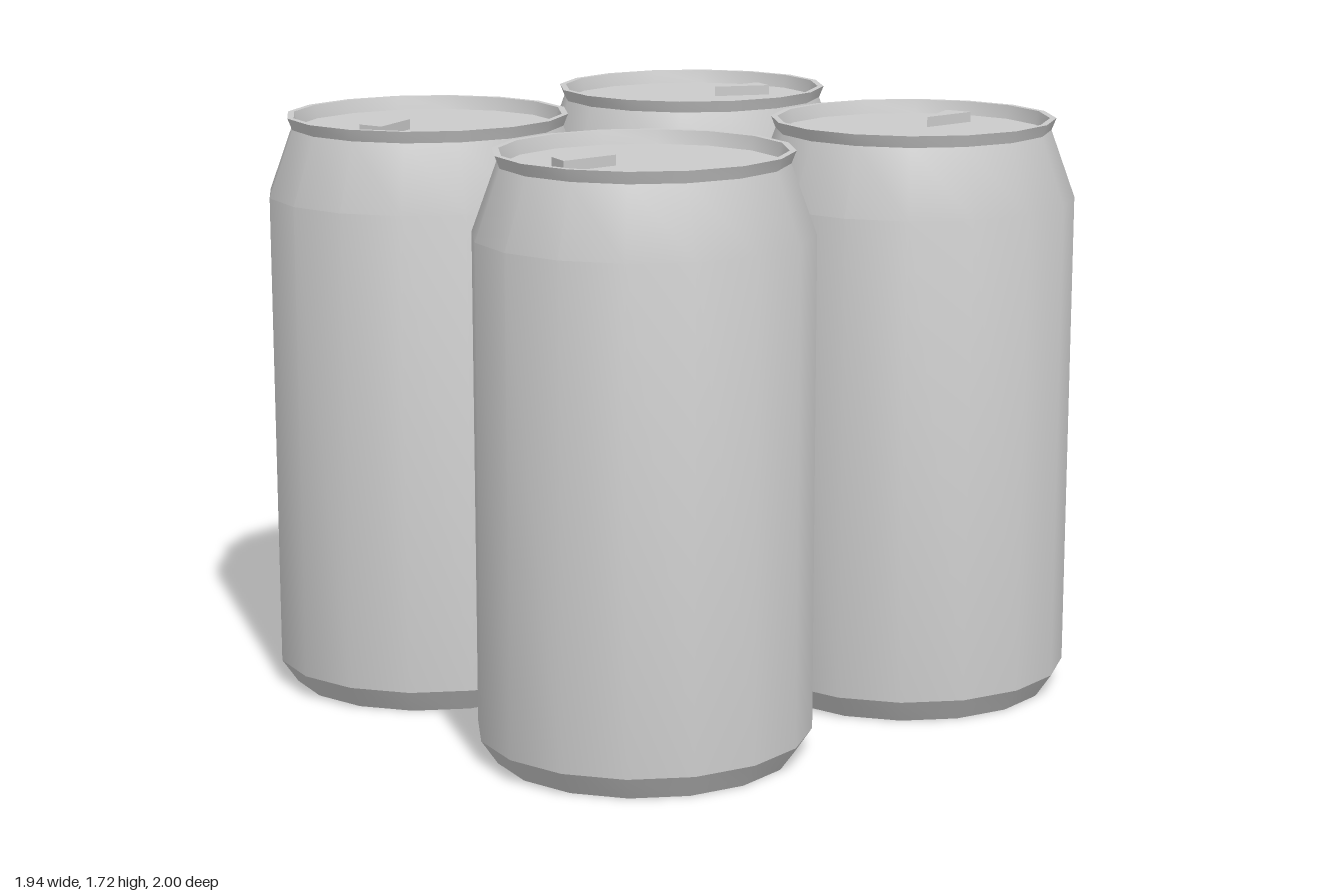
import * as THREE from 'three';
import { toCreasedNormals } from 'three/addons/utils/BufferGeometryUtils.js';

const SIDES = 16;
const LID_Y = 1.68;

// Closed can profile: recessed base, bevel, wall, shoulder, flared rim, sunken lid
const PROFILE = [
  [0, 0.03], [0.41, 0.03], [0.42, 0], [0.435, 0], [0.483, 0.07],
  [0.483, 1.487], [0.41, 1.685], [0.424, 1.72], [0.405, 1.72],
  [0.395, LID_Y], [0, LID_Y],
].map(([r, y]) => new THREE.Vector2(r, y));

// Small wedge-shaped tab on the lid, mirrored by the signs sx and sz
function tabGeometry(sx, sz) {
  const corners = [[-0.022, 0.08], [-0.022, 0.262], [-0.102, 0.24]];
  const shape = new THREE.Shape(corners.map(([x, z]) => new THREE.Vector2(x * sx, -z * sz)));
  const geometry = new THREE.ExtrudeGeometry(shape, { depth: 0.03, bevelEnabled: false });
  geometry.rotateX(-Math.PI / 2);
  geometry.translate(0, LID_Y, 0);
  return geometry;
}

export function createModel() {
  const material = new THREE.MeshStandardMaterial({ color: 0xcccccc });
  const bodyGeometry = toCreasedNormals(
    new THREE.LatheGeometry(PROFILE, SIDES).scale(0.976, 1, 1), 0.52);

  const model = new THREE.Group();
  model.name = 'fourCans';

  // Two by two cans, mirrored in x and z
  for (const sx of [-1, 1]) {
    for (const sz of [-1, 1]) {
      const can = new THREE.Group();
      can.name = (sz > 0 ? 'front' : 'back') + (sx > 0 ? 'Left' : 'Right') + 'Can';

      const body = new THREE.Mesh(bodyGeometry, material);
      body.name = 'canBody';
      const tab = new THREE.Mesh(tabGeometry(sx, sz), material);
      tab.name = 'pullTab';

      can.add(body, tab);
      can.position.set(sx * 0.5, 0, sz * 0.517);
      model.add(can);
    }
  }
  return model;
}
